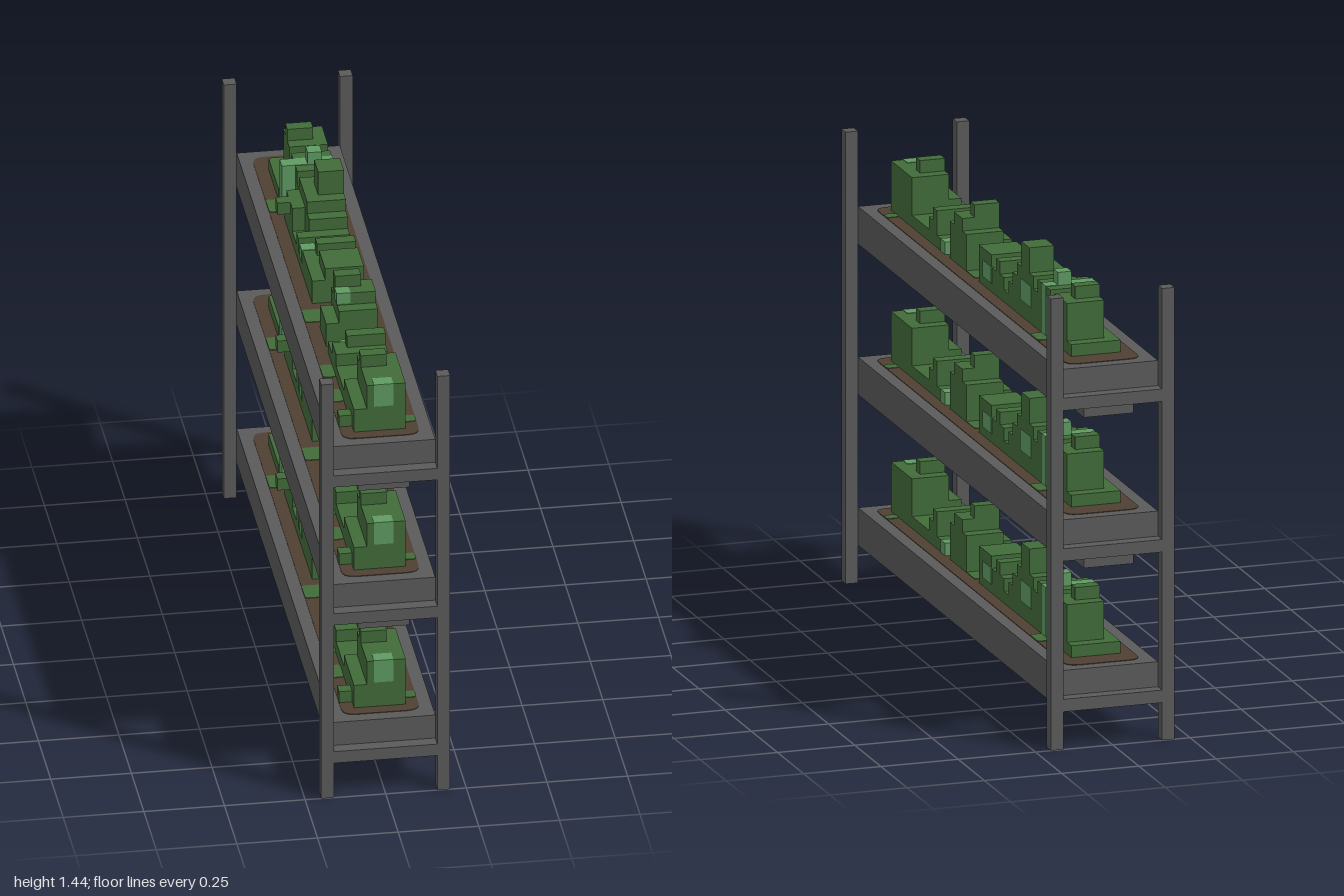
import * as THREE from 'three';

const U = 0.04; // one block of the grid
const mat = (name, color) => Object.assign(new THREE.MeshStandardMaterial({ color }), { name });

// Foliage steps as [z0, z1, height]; the taller the step, the narrower it is
const steps = [
  [17, 22, 2], [17, 22, 4], [18, 19, 5],                  // front bush
  [9, 17, 1], [11, 13, 2], [11, 12, 3],                   // trailing growth
  [4, 8, 3], [5, 7, 4], [5, 6, 5],                        // middle bush
  [-5, 1, 2], [-2, 1, 3], [-4, -3, 3],                    // wide low bush
  [-13, -5, 1], [-7, -6, 2], [-13, -7, 3], [-12, -8, 4], [-11, -9, 6], // tall bush
  [-16, -13, 4],                                          // upright stems
  [-21, -16, 1], [-20, -17, 3], [-20, -17, 4], [-19, -18, 5], // back bush
];
// Left and right edge of a step by its height
const edges = { 1: [-2, 2], 2: [-2, 2], 3: [-1, 2], 4: [-1, 2], 5: [-1, 1], 6: [0, 2] };

// Boxes as [x0, x1, z0, z1, y0, y1]
const twigs = [[-3, -2, 20, 21, 0, 1], [-3, -1, -11, -10, 2, 3], [-2, -1, -12, -9, 0, 3], [-2, -1, 5, 8, 0, 2]];
const highlights = [
  [-0.4, 1, 21, 22, 2.2, 4], [-1, 2, 9, 10, 0, 1], [-1, 0, 6, 7, 3.2, 4],
  [1, 2, -2, 0, 0.8, 2], [-2, -1, -5, -4, 1, 2], [1, 2, -11.5, -9, 1.4, 3],
  [-2, 2, -15, -14, 0, 4], [0, 1, -15, -14, 4, 5], [1, 2, -19, -18, 0.5, 1.5],
];
// Flat moss on the soil as [x0, x1, z0, z1]
const moss = [[-3, 2, 2, 4], [-3, -2, 11, 13], [-3, -2, 15, 17], [2, 3, 20, 21], [-3, 3, -16, -14]];

// Box from block coordinates; grow pushes every side out a little
function box(parent, name, m, [x0, x1, z0, z1, y0, y1], grow = 0) {
  const g = new THREE.BoxGeometry((x1 - x0) * U + grow, (y1 - y0) * U + grow, (z1 - z0) * U + grow);
  const b = new THREE.Mesh(g, m);
  b.position.set((x0 + x1) / 2 * U, (y0 + y1) / 2 * U, (z0 + z1) / 2 * U);
  b.name = name;
  parent.add(b);
}

// Thin horizontal plate with rounded corners, extruded upward from y
function plate(parent, name, m, [x0, x1, z0, z1], r, y, t) {
  const [a, b, c, d] = [x0 * U, x1 * U, -z1 * U, -z0 * U];
  const s = new THREE.Shape();
  s.moveTo(a + r, c);
  s.lineTo(b - r, c).quadraticCurveTo(b, c, b, c + r);
  s.lineTo(b, d - r).quadraticCurveTo(b, d, b - r, d);
  s.lineTo(a + r, d).quadraticCurveTo(a, d, a, d - r);
  s.lineTo(a, c + r).quadraticCurveTo(a, c, a + r, c);
  const g = new THREE.ExtrudeGeometry(s, { depth: t, bevelEnabled: false, curveSegments: 4 });
  g.rotateX(-Math.PI / 2);
  const p = new THREE.Mesh(g, m);
  p.position.y = y;
  p.name = name;
  parent.add(p);
}

export function createModel() {
  const frame = mat('frame grey', 0x5a5a5a);
  const soil = mat('soil brown', 0x503f33);
  const leaf = mat('leaf green', 0x416b39);
  const lightLeaf = mat('light leaf green', 0x5f9a63);
  const lamp = mat('lamp pale grey', 0xc0c0c0);
  const root = new THREE.Group();
  root.name = 'plantRack';

  // Corner posts
  for (const x of [-5, 4]) for (const z of [-25, 24]) box(root, 'cornerPost', frame, [x, x + 1, z, z + 1, 0, 36]);

  [6, 18, 30].forEach((top, i) => {
    const tier = new THREE.Group();
    tier.name = 'shelfTier';
    root.add(tier);
    box(tier, 'planterTray', frame, [-4, 4, -24, 24, top - 3, top]);
    for (const z of [-25, 24]) box(tier, 'endBar', frame, [-4, 4, z, z + 1, top - 3, top - 2]);
    plate(tier, 'soilBed', soil, [-3, 3, -23, 23], 0.04, top * U, 0.002);
    for (const m of moss) plate(tier, 'mossPatch', leaf, m, 0.012, top * U, 0.004);

    // Grow lamp under the upper trays
    if (i > 0) {
      box(tier, 'lampHousing', frame, [-2, 2, -24, 24, top - 4, top - 3]);
      plate(tier, 'lampStrip', lamp, [-1.1, 1.1, -23, 23], 0.03, (top - 4) * U - 0.002, 0.002);
    }

    // Plants
    const plants = new THREE.Group();
    plants.name = 'plants';
    plants.position.y = top * U;
    tier.add(plants);
    for (const [z0, z1, h] of steps) box(plants, 'foliage', leaf, [...edges[h], z0, z1, 0, h]);
    for (const t of twigs) box(plants, 'twig', leaf, t);
    for (const h of highlights) box(plants, 'youngLeaves', lightLeaf, h, 0.004);
  });
  return root;
}
